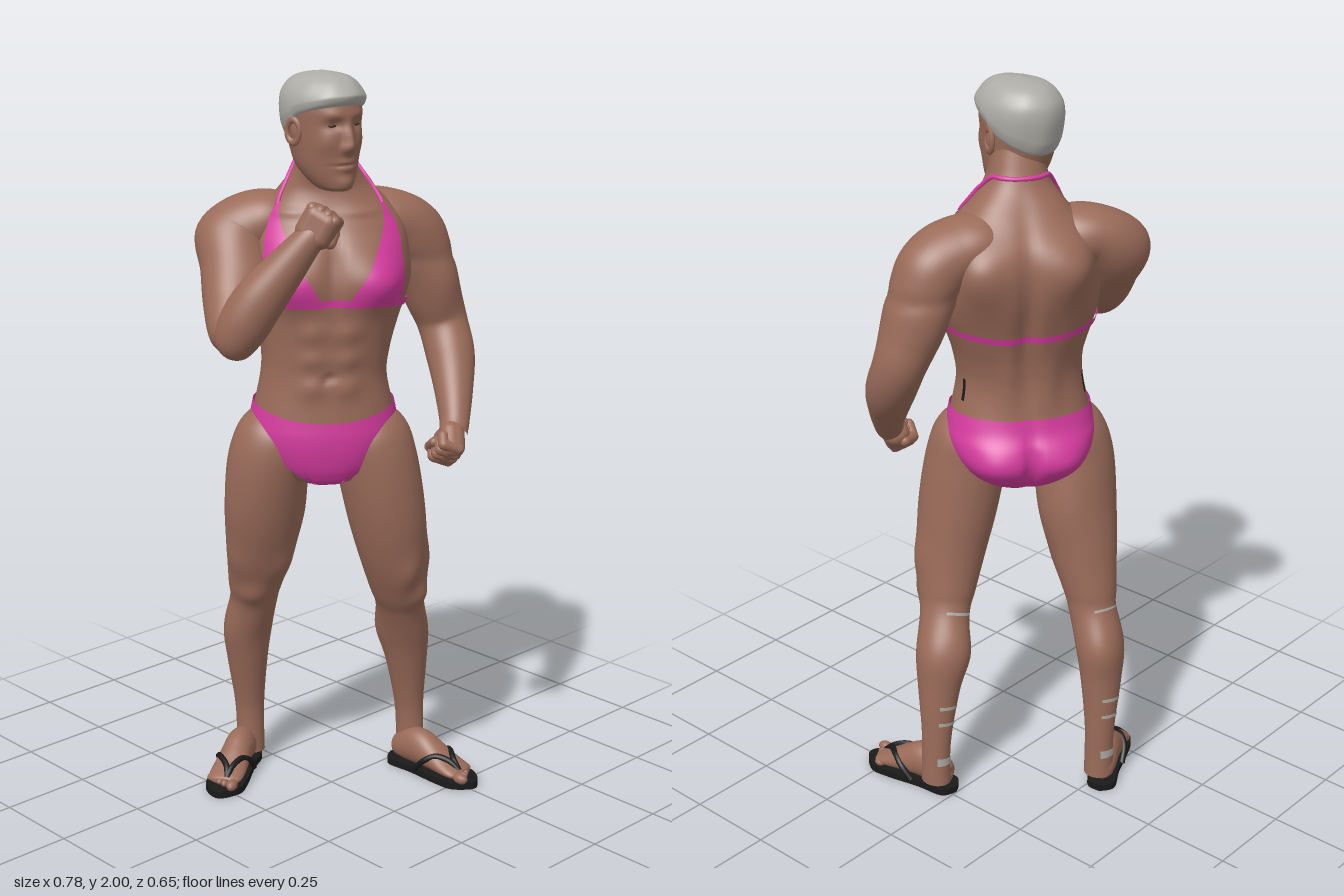
import * as THREE from 'three';
import { RoundedBoxGeometry } from 'three/addons/geometries/RoundedBoxGeometry.js';

const V = (x, y, z) => new THREE.Vector3(x, y, z);
const PI = Math.PI;
const mat = (name, color, side = THREE.FrontSide) => {
  const m = new THREE.MeshStandardMaterial({ color, side });
  m.name = name;
  return m;
};

// Grid surface from a rule f(u, v); u runs along the part, v around it
function grid(f, nu, nv, wrap) {
  const pos = [], idx = [], row = wrap ? nv : nv + 1;
  for (let i = 0; i <= nu; i++) for (let j = 0; j < row; j++) pos.push(...f(i / nu, j / nv).toArray());
  for (let i = 0; i < nu; i++) for (let j = 0; j < nv; j++) {
    const k = (j + 1) % row, a = i * row + j, b = i * row + k, c = a + row, d = b + row;
    idx.push(a, c, b, b, c, d);
  }
  const g = new THREE.BufferGeometry();
  g.setAttribute('position', new THREE.Float32BufferAttribute(pos, 3));
  g.setIndex(idx);
  g.computeVertexNormals();
  return g;
}

// Body surface: elliptical sections [x, y, z, ra, rb] along a path, swollen by
// muscle bumps [x, y, z, sx, sy, sz, height]; ra lies along the axis ref.
// Upright bodies keep every section level.
function body(keys, bumps, { power = 1, ref = V(1, 0, 0), upright = false } = {}) {
  const path = new THREE.CatmullRomCurve3(keys.map(k => V(k[0], k[1], k[2])), false, 'catmullrom', 0.5);
  const size = new THREE.CatmullRomCurve3(keys.map(k => V(k[3], k[4] ?? k[3], 0)), false, 'catmullrom', 0.5);
  const soft = c => Math.sign(c) * Math.abs(c) ** power;
  const at = (t, a, off = 0) => {
    const p = path.getPoint(t), r = size.getPoint(t), T = upright ? V(0, 1, 0) : path.getTangent(t);
    const A = ref.clone().addScaledVector(T, -T.dot(ref)).normalize(), B = A.clone().cross(T);
    const c = Math.cos(a), s = Math.sin(a);
    p.addScaledVector(A, soft(c) * Math.max(r.x, 0.001)).addScaledVector(B, soft(s) * Math.max(r.y, 0.001));
    let h = off;
    for (const b of bumps) {
      const q = ((p.x - b[0]) / b[3]) ** 2 + ((p.y - b[1]) / b[4]) ** 2 + ((p.z - b[2]) / b[5]) ** 2;
      if (q < 9) h += b[6] * Math.exp(-q);
    }
    return p.addScaledVector(A, c * h).addScaledVector(B, s * h);
  };
  // Path parameter at a given height
  const tAt = y => {
    let lo = 0, hi = 1;
    const up = keys[keys.length - 1][1] > keys[0][1];
    for (let i = 0; i < 18; i++) {
      const m = (lo + hi) / 2;
      if ((path.getPoint(m).y < y) === up) lo = m; else hi = m;
    }
    return lo;
  };
  const skin = (nu, nv) => grid((u, v) => at(u, v * 2 * PI), nu, nv, true);
  return { at, tAt, skin };
}
const both = list => list.flatMap(b => [b, [-b[0], ...b.slice(1)]]);

export function createModel() {
  const root = new THREE.Group();
  const skin = mat('skin', 0x9a6b59), pink = mat('pink fabric', 0xd63c9f, THREE.DoubleSide);
  const grey = mat('grey hair', 0xaeaca6, THREE.DoubleSide), black = mat('black rubber', 0x1b1a1a, THREE.DoubleSide);
  const dark = mat('dark eyes', 0x4a3228);
  const add = (parent, name, geo, m) => {
    const mesh = new THREE.Mesh(geo, m);
    mesh.name = name;
    parent.add(mesh);
    return mesh;
  };
  const group = (name, x, y, z, yaw = 0) => {
    const g = new THREE.Group();
    g.name = name;
    g.position.set(x, y, z);
    g.rotation.y = yaw;
    root.add(g);
    return g;
  };
  const rod = (parent, name, a, b, r, m) => {
    const mesh = add(parent, name, new THREE.CapsuleGeometry(r, a.distanceTo(b), 6, 12), m);
    mesh.position.copy(a).lerp(b, 0.5);
    mesh.quaternion.setFromUnitVectors(V(0, 1, 0), b.clone().sub(a).normalize());
  };

  // Torso and neck, turned towards the right
  const trunk = group('trunk', -0.02, 0, -0.01, -38 * PI / 180);
  const torso = body([
    [0, 0.905, 0.005, 0.001, 0.001], [0, 0.918, 0, 0.085, 0.095], [0, 0.95, -0.006, 0.14, 0.13],
    [0, 1, -0.012, 0.178, 0.15], [0, 1.05, -0.011, 0.193, 0.153], [0, 1.1, -0.005, 0.188, 0.143],
    [0, 1.2, 0, 0.168, 0.13], [0.005, 1.27, -0.002, 0.17, 0.135], [0.01, 1.36, -0.014, 0.188, 0.154],
    [0.018, 1.46, -0.026, 0.207, 0.172], [0.018, 1.54, -0.036, 0.207, 0.167], [0.018, 1.6, -0.045, 0.195, 0.145],
    [0.015, 1.65, -0.042, 0.163, 0.115], [0.012, 1.7, -0.03, 0.112, 0.09], [0.008, 1.75, -0.008, 0.08, 0.082],
    [0.004, 1.81, 0.01, 0.07, 0.078], [0, 1.87, 0.015, 0.06, 0.065]], [
    // breasts, side back muscles, shoulder blades, buttocks, trapezius, lower back, collar bones, belly
    ...[1, -1].flatMap(s => [
      [0.018 + s * 0.105, 1.465, 0.14, 0.07, 0.07, 0.08, 0.034], [0.018 + s * 0.19, 1.43, -0.06, 0.06, 0.09, 0.08, 0.014],
      [0.018 + s * 0.11, 1.55, -0.17, 0.065, 0.075, 0.08, 0.032], [s * 0.085, 1, -0.165, 0.075, 0.07, 0.08, 0.032],
      [0.015 + s * 0.07, 1.68, -0.06, 0.05, 0.05, 0.06, 0.014], [s * 0.05, 1.23, -0.13, 0.035, 0.09, 0.06, 0.012],
      [s * 0.09, 1.64, 0.06, 0.06, 0.012, 0.05, 0.006],
      ...[1.19, 1.265, 1.335].map(y => [0.005 + s * 0.045, y, 0.13, 0.034, 0.03, 0.06, 0.01])]),
    // cleavage, spine, seat cleft and navel
    [0.018, 1.51, 0.15, 0.022, 0.09, 0.08, -0.016], [0.012, 1.42, -0.18, 0.024, 0.2, 0.08, -0.022],
    [0, 1, -0.18, 0.014, 0.08, 0.1, -0.026], [0.003, 1.215, 0.13, 0.012, 0.012, 0.05, -0.012]],
  { power: 0.88, upright: true });
  add(trunk, 'torso', torso.skin(130, 96), skin);

  // Bikini bottom follows the hips, cut high at the sides
  add(trunk, 'bikiniBottom', grid((u, v) => {
    const a = v * 2 * PI, s = Math.abs(Math.cos(a)), f = Math.sin(a);
    const low = 0.905 + 0.17 * (f > 0 ? Math.max(0, (s - 0.25) / 0.75) ** 1.2 : s ** 5);
    const top = 1.132 - 0.035 * Math.max(0, f) ** 2;
    const t0 = low < 0.907 ? 0 : torso.tAt(low);
    return torso.at(t0 + (torso.tAt(top) - t0) * u, a, 0.006);
  }, 40, 96, true), pink);

  // Triangular cups, halter straps, back band and dark marks on the lower back
  for (const s of [1, -1]) {
    const ang = a => s > 0 ? a : PI - a;
    add(trunk, 'bikiniCup', grid((u, v) => {
      const w = 0.42 * (1 - u) ** 0.85 + 0.025;
      return torso.at(torso.tAt(1.405 + 0.26 * u), ang(1.02 - 0.4 * u ** 1.5 + s * (0.5 - v) * -2 * w), 0.006);
    }, 30, 24, false), pink);
    const pts = [];
    for (let i = 0; i <= 24; i++) {
      const q = i / 24;
      pts.push(torso.at(torso.tAt(1.655 + 0.11 * Math.sin(PI / 2 * Math.min(1, q * 1.7))), ang(0.62 - q * (0.62 + PI / 2)), 0.003));
    }
    add(trunk, 'halterStrap', new THREE.TubeGeometry(new THREE.CatmullRomCurve3(pts), 60, 0.006, 8), pink);
    add(trunk, 'backMark', grid((u, v) =>
      torso.at(torso.tAt(1.165 + 0.06 * u), ang(-0.45 + 0.08 * v), 0.003), 8, 2, false), black);
  }
  add(trunk, 'chestBand', grid((u, v) => {
    const a = v * 2 * PI;
    return torso.at(torso.tAt(1.38 + 0.028 * Math.sin(a) + 0.019 * u), a, 0.005);
  }, 2, 96, true), pink);

  // Head with modelled face
  const head = group('head', -0.04, 1.86, 0.015, -0.15);
  const skull = body([
    [0, -0.165, 0.045, 0.001, 0.001], [0, -0.158, 0.043, 0.034, 0.046], [0, -0.138, 0.03, 0.055, 0.068],
    [0, -0.1, 0.01, 0.074, 0.091], [0, -0.05, 0, 0.084, 0.104], [0, 0, -0.005, 0.09, 0.111],
    [0, 0.05, -0.008, 0.093, 0.114], [0, 0.085, -0.01, 0.083, 0.103], [0, 0.113, -0.01, 0.055, 0.07],
    [0, 0.125, -0.01, 0.001, 0.001]], [
    // brows, eye sockets, cheeks, nostrils
    ...both([[0.034, 0.034, 0.1, 0.028, 0.014, 0.04, 0.005], [0.035, 0.01, 0.1, 0.02, 0.014, 0.04, -0.009],
      [0.048, -0.035, 0.085, 0.026, 0.03, 0.04, 0.006], [0.013, -0.05, 0.11, 0.01, 0.012, 0.03, 0.005]]),
    // nose, lips and chin
    [0, -0.02, 0.112, 0.012, 0.032, 0.04, 0.018], [0, -0.046, 0.115, 0.014, 0.018, 0.04, 0.014],
    [0, -0.085, 0.1, 0.026, 0.01, 0.04, 0.005], [0, -0.092, 0.1, 0.03, 0.004, 0.04, -0.006],
    [0, -0.101, 0.1, 0.022, 0.01, 0.04, 0.006], [0, -0.14, 0.09, 0.024, 0.02, 0.04, 0.009]], { upright: true });
  add(head, 'face', skull.skin(120, 110), skin);
  for (const s of [1, -1]) {
    const eye = add(head, 'eye', new THREE.SphereGeometry(0.012, 16, 10), dark);
    eye.position.set(s * 0.035, 0.008, 0.085);
    eye.scale.set(1.1, 0.4, 0.8);
    const rim = add(head, 'earRim', new THREE.TorusGeometry(0.02, 0.007, 8, 20), skin);
    rim.position.set(s * 0.094, -0.01, -0.002);
    rim.rotation.y = s * 1.25;
    rim.scale.y = 1.45;
    const lobe = add(head, 'earBowl', new THREE.SphereGeometry(0.02, 14, 10), skin);
    lobe.position.set(s * 0.088, -0.012, 0);
    lobe.scale.set(0.4, 1.3, 0.9);
  }

  // Short swept hair over the skull, fuller above the forehead
  add(head, 'hair', grid((u, v) => {
    const a = v * 2 * PI, f = Math.sin(a);
    const t0 = skull.tAt(f > 0 ? 0.01 + 0.048 * Math.sqrt(f) : 0.01 + 0.055 * f);
    const full = 0.115 + (0.008 * Math.sin(9 * a + 5 * u) + 0.11 * Math.max(0, f) ** 3) * (1 - u);
    const k = 1 + full * Math.sqrt(Math.min(1, u * 7));
    const c = V(0, 0.02, -0.01);
    return skull.at(t0 + (1 - t0) * u, a).sub(c).multiplyScalar(k).add(c);
  }, 44, 80, true), grey);

  // Arms grow out of the shoulder girdle: left hangs bent before the hip, right is raised
  const arm = (name, keys, bumps) => add(root, name, body(keys, bumps, { ref: V(0, 0, 1) }).skin(80, 40), skin);
  arm('leftArm', [[0.05, 1.595, -0.03, 0.05], [0.115, 1.603, -0.008, 0.088, 0.076], [0.172, 1.598, 0.025, 0.095, 0.078],
    [0.224, 1.562, 0.052, 0.094, 0.086], [0.265, 1.485, 0.068, 0.088, 0.085], [0.299, 1.38, 0.083, 0.08, 0.075],
    [0.322, 1.3, 0.1, 0.07, 0.067], [0.307, 1.22, 0.145, 0.066, 0.066], [0.268, 1.14, 0.195, 0.053, 0.052],
    [0.225, 1.07, 0.24, 0.041, 0.039], [0.2, 1.04, 0.258, 0.039, 0.036]],
  [[0.29, 1.57, 0.05, 0.05, 0.06, 0.08, 0.012], [0.28, 1.49, 0.06, 0.2, 0.018, 0.12, -0.006],
    [0.27, 1.42, 0.16, 0.05, 0.06, 0.05, 0.01], [0.29, 1.43, 0.0, 0.05, 0.07, 0.05, 0.01]]);
  arm('rightUpperArm', [[-0.03, 1.595, -0.085, 0.05], [-0.08, 1.603, -0.125, 0.088, 0.076],
    [-0.128, 1.598, -0.162, 0.095, 0.08], [-0.175, 1.558, -0.182, 0.096, 0.088], [-0.215, 1.488, -0.14, 0.088],
    [-0.268, 1.41, -0.085, 0.078], [-0.322, 1.35, -0.03, 0.06], [-0.343, 1.325, -0.01, 0.038], [-0.35, 1.315, -0.003, 0.001]],
  [[-0.22, 1.57, -0.22, 0.06, 0.06, 0.07, 0.016], [-0.2, 1.48, -0.06, 0.05, 0.05, 0.05, 0.012]]);
  arm('rightForearm', [[-0.346, 1.293, -0.02, 0.001], [-0.341, 1.315, -0.01, 0.044], [-0.325, 1.37, 0.01, 0.064],
    [-0.295, 1.44, 0.04, 0.066], [-0.25, 1.52, 0.085, 0.054], [-0.21, 1.59, 0.125, 0.041], [-0.19, 1.615, 0.138, 0.038]], []);

  // Clenched fists
  const fist = (name, x, y, z, dir, palm, s) => {
    const g = group(name, x, y, z), Y = dir.normalize();
    const Z = palm.addScaledVector(Y, -palm.dot(Y)).normalize();
    g.quaternion.setFromRotationMatrix(new THREE.Matrix4().makeBasis(Y.clone().cross(Z), Y, Z));
    add(g, 'palm', new RoundedBoxGeometry(0.098, 0.102, 0.068, 5, 0.03), skin);
    for (let i = 0; i < 4; i++) {
      const fx = (i - 1.5) * 0.022, top = 0.04 - 0.004 * Math.abs(i - 1.5);
      rod(g, 'fingerBase', V(fx, top, -0.012), V(fx, top - 0.004, 0.03), 0.0155, skin);
      rod(g, 'fingerTip', V(fx, top - 0.004, 0.032), V(fx, 0.004, 0.033), 0.0145, skin);
    }
    rod(g, 'thumb', V(s * 0.045, -0.022, 0.012), V(s * 0.036, 0.0, 0.038), 0.016, skin);
    rod(g, 'thumb', V(s * 0.036, 0.0, 0.04), V(-s * 0.004, 0.01, 0.046), 0.0135, skin);
  };
  fist('leftFist', 0.178, 1.022, 0.265, V(-0.1, -0.13, 0.1), V(-0.9, 0.1, -0.3), 1);
  fist('rightFist', -0.186, 1.633, 0.146, V(0.08, 0.2, 0.08), V(0.75, 0, -0.4), -1);

  // Legs with knee, calf and thigh muscles, and pale bands behind the shins
  const leg = (name, keys, bumps) => {
    const l = body(keys, bumps);
    add(root, name, l.skin(90, 48), skin);
    for (const [y, h] of [[0.105, 0.024], [0.23, 0.01], [0.28, 0.01], [0.525, 0.008]])
      add(root, 'shinBand', grid((u, v) => l.at(l.tAt(y + h * (1 - u)), PI * (0.25 + 0.35 * v), 0.004), 2, 14, false), grey);
  };
  leg('leftLeg', [[0.05, 1.1, 0.05, 0.06], [0.062, 1.04, 0.075, 0.104], [0.076, 0.96, 0.095, 0.109, 0.112],
    [0.1, 0.82, 0.108, 0.104, 0.11], [0.125, 0.7, 0.11, 0.092, 0.097], [0.156, 0.59, 0.1, 0.075, 0.082],
    [0.178, 0.53, 0.088, 0.064, 0.072], [0.218, 0.43, 0.064, 0.065, 0.074], [0.24, 0.33, 0.056, 0.055, 0.061],
    [0.258, 0.2, 0.05, 0.04, 0.045], [0.264, 0.11, 0.05, 0.036, 0.042], [0.264, 0.04, 0.05, 0.038, 0.044]],
  [[0.17, 0.57, 0.17, 0.032, 0.035, 0.04, 0.012], [0.11, 0.65, 0.19, 0.03, 0.05, 0.05, 0.01],
    [0.195, 0.68, 0.15, 0.03, 0.06, 0.05, 0.01], [0.2, 0.44, 0, 0.05, 0.07, 0.05, 0.012],
    [0.272, 0.43, 0.05, 0.03, 0.07, 0.05, 0.008]]);
  leg('rightLeg', [[-0.08, 1.1, -0.06, 0.06], [-0.115, 1.04, -0.08, 0.104], [-0.138, 0.96, -0.1, 0.11],
    [-0.13, 0.82, -0.125, 0.115, 0.102], [-0.122, 0.7, -0.155, 0.094, 0.092], [-0.113, 0.59, -0.188, 0.074, 0.075],
    [-0.106, 0.53, -0.204, 0.064, 0.067], [-0.095, 0.43, -0.242, 0.07, 0.064], [-0.085, 0.33, -0.256, 0.058, 0.055],
    [-0.071, 0.2, -0.266, 0.043, 0.042], [-0.068, 0.11, -0.267, 0.039, 0.04], [-0.07, 0.04, -0.267, 0.042, 0.042]],
  [[-0.16, 0.57, -0.145, 0.035, 0.035, 0.035, 0.012], [-0.11, 0.66, -0.08, 0.04, 0.05, 0.04, 0.01],
    [-0.2, 0.68, -0.15, 0.04, 0.06, 0.04, 0.01], [-0.05, 0.44, -0.29, 0.05, 0.07, 0.05, 0.012]]);

  // Feet in flip-flops
  const foot = (name, x, z, yaw, s) => {
    const g = group(name, x, 0, z, yaw);
    add(g, 'foot', body([[0, 0.045, -0.138, 0.001], [0, 0.046, -0.128, 0.026, 0.026], [0, 0.058, -0.1, 0.037, 0.042],
      [0, 0.069, -0.05, 0.041, 0.054], [0, 0.058, 0, 0.044, 0.043], [0, 0.043, 0.05, 0.049, 0.027],
      [0, 0.034, 0.09, 0.048, 0.017], [0, 0.03, 0.108, 0.034, 0.011], [0, 0.03, 0.112, 0.001]], []).skin(40, 32), skin);
    for (let i = 0; i < 5; i++) {
      const toe = add(g, 'toe', new THREE.SphereGeometry(i ? 0.0105 : 0.0155, 12, 10), skin);
      toe.position.set(-s * (i ? 0.024 - i * 0.0165 : 0.031), 0.03, 0.122 - i * 0.009);
      toe.scale.z = 1.5;
    }
    const outline = new THREE.Shape(new THREE.SplineCurve([[0, -0.155], [0.038, -0.13], [0.041, -0.05], [0.053, 0.05],
      [0.05, 0.11], [0, 0.154], [-0.05, 0.11], [-0.053, 0.05], [-0.041, -0.05], [-0.038, -0.13], [0, -0.155]]
      .map(p => new THREE.Vector2(...p))).getPoints(60));
    const sole = add(g, 'sandalSole', new THREE.ExtrudeGeometry(outline, { depth: 0.02, bevelEnabled: false }), black);
    sole.rotation.x = PI / 2;
    sole.position.y = 0.02;
    for (const k of [1, -1]) {
      const strap = new THREE.CatmullRomCurve3([V(-s * 0.01, 0.04, 0.102), V(-s * 0.008 + k * 0.008, 0.062, 0.075),
        V(k * 0.032, 0.072, 0.035), V(k * 0.047, 0.055, 0.005), V(k * 0.046, 0.018, -0.03)]);
      add(g, 'sandalStrap', new THREE.TubeGeometry(strap, 24, 0.0085, 8), black);
    }
  };
  foot('leftFoot', 0.251, 0.155, 0.1, 1);
  foot('rightFoot', -0.167, -0.222, -1.04, -1);
  return root;
}
